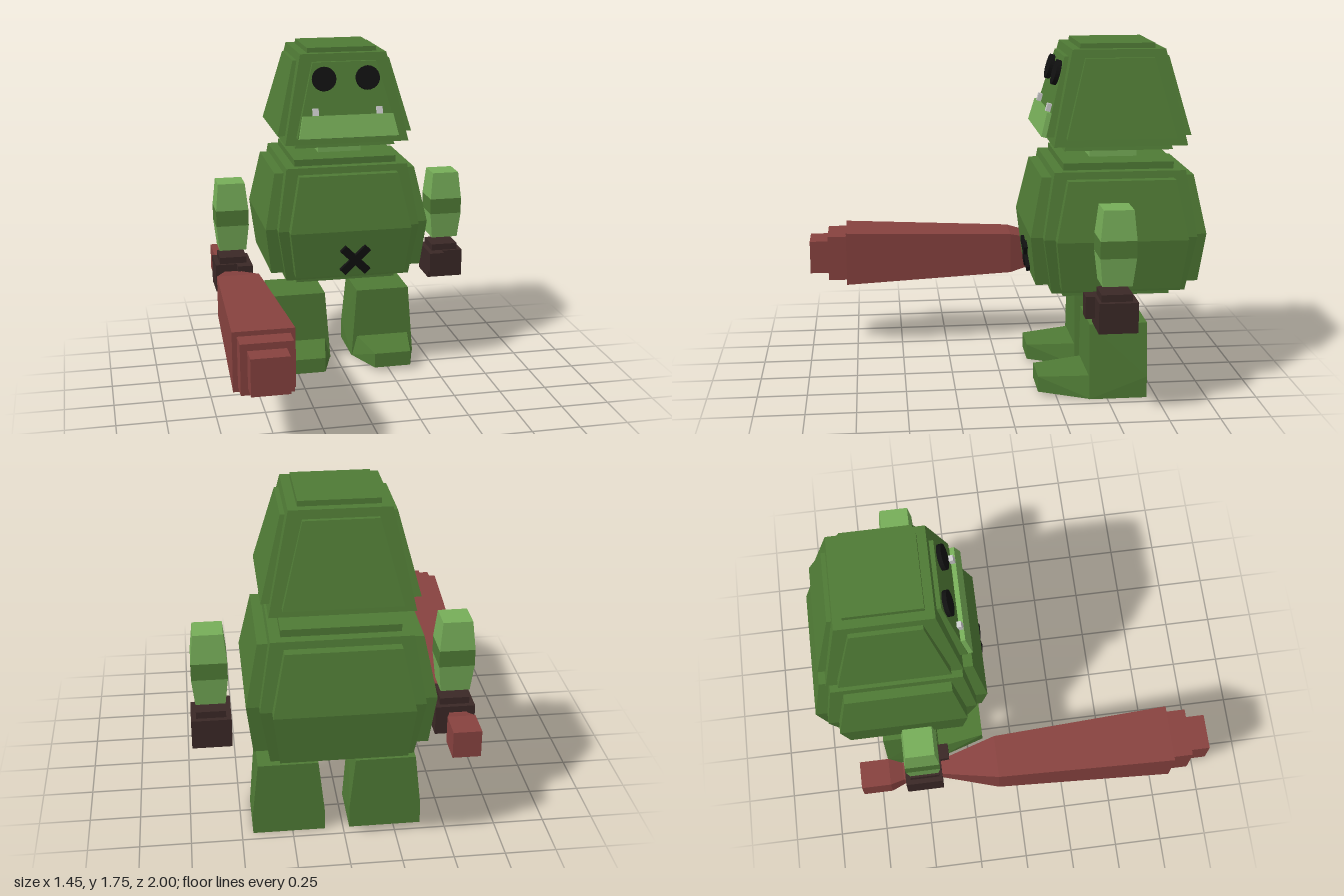
import * as THREE from 'three';
import { ConvexGeometry } from 'three/addons/geometries/ConvexGeometry.js';

const mat = (color) => new THREE.MeshStandardMaterial({ color, flatShading: true });
const GREEN = mat(0x4f7a35), LIGHT = mat(0x76ad58), BROWN = mat(0x3a2826);
const RED = mat(0x87423f), BLACK = mat(0x111111), GREY = mat(0xcccccc);

const CX = 0.03, CZ = -0.56; // body axis

function add(parent, name, geometry, material, x = 0, y = 0, z = 0) {
  const mesh = new THREE.Mesh(geometry, material);
  mesh.name = name;
  mesh.position.set(x, y, z);
  parent.add(mesh);
  return mesh;
}

const box = (w, h, d) => new THREE.BoxGeometry(w, h, d);

// Rectangular cross-sections [y, halfX, halfZ], bottom to top, capped at both ends
function loft(sections) {
  const pos = [], idx = [];
  for (const [y, hx, hz] of sections) pos.push(-hx, y, hz, hx, y, hz, hx, y, -hz, -hx, y, -hz);
  const n = sections.length;
  for (let s = 0; s < n - 1; s++) {
    for (let i = 0; i < 4; i++) {
      const a = s * 4 + i, b = s * 4 + (i + 1) % 4;
      idx.push(a, b, b + 4, a, b + 4, a + 4);
    }
  }
  const t = (n - 1) * 4;
  idx.push(0, 2, 1, 0, 3, 2, t, t + 1, t + 2, t, t + 2, t + 3);
  const g = new THREE.BufferGeometry();
  g.setAttribute('position', new THREE.Float32BufferAttribute(pos, 3));
  g.setIndex(idx);
  const flat = g.toNonIndexed();
  flat.computeVertexNormals();
  return flat;
}

// Core block with a raised panel on each of its six sides
function panelled(name, core, panels, out, inset, cap) {
  const g = new THREE.Group();
  g.name = name;
  g.position.set(CX, 0, CZ);
  add(g, name + 'Core', loft(core.map(([y, c]) => [y, c, c])), GREEN);
  add(g, name + 'SidePanels', loft(panels.map(([y, c]) => [y, c + out, c - inset])), GREEN);
  add(g, name + 'FrontBackPanels', loft(panels.map(([y, c]) => [y, c - inset, c + out])), GREEN);
  add(g, name + 'TopBottomPanels', loft(cap.map(([y, c]) => [y, c, c])), GREEN);
  return g;
}

// Tapered block through mirrored points [halfX, y, z]
function hull(points) {
  return new ConvexGeometry(points.flatMap(([x, y, z]) =>
    [new THREE.Vector3(x, y, z), new THREE.Vector3(-x, y, z)]));
}

export function createModel() {
  const model = new THREE.Group();
  model.name = 'clubMonster';

  // Torso
  const torso = panelled('torso',
    [[0.535, 0.335], [0.82, 0.38], [1.145, 0.325]],
    [[0.57, 0.35], [0.82, 0.38], [1.11, 0.32]],
    0.06, 0.055, [[0.5, 0.27], [1.18, 0.275]]);
  model.add(torso);

  // Crossed belly mark
  const mark = new THREE.Group();
  mark.name = 'bellyMark';
  mark.position.set(0.05, 0.66, -0.135);
  mark.rotation.x = 0.12;
  for (const s of [-1, 1]) {
    add(mark, 'markBar', box(0.19, 0.042, 0.03), BLACK).rotation.z = s * Math.PI / 4;
  }
  model.add(mark);

  // Neck and head
  add(model, 'neck', box(0.236, 0.14, 0.24), LIGHT, CX, 1.2, CZ);
  const head = panelled('head',
    [[1.27, 0.33], [1.73, 0.23]],
    [[1.31, 0.32], [1.69, 0.22]],
    0.04, 0.05, [[1.24, 0.27], [1.5, 0.2], [1.755, 0.185]]);
  model.add(head);

  // Face, leaning back with the head's front panel
  const lean = 0.26;
  const lip = new THREE.Shape([[-0.265, 0], [0.265, 0], [0.24, 0.118], [-0.24, 0.118]]
    .map(([x, y]) => new THREE.Vector2(x, y)));
  add(model, 'mouth', new THREE.ExtrudeGeometry(lip, { depth: 0.03, bevelEnabled: false }),
    LIGHT, CX, 1.305, -0.205).rotation.x = -lean;
  for (const s of [-1, 1]) {
    add(model, 'tooth', box(0.03, 0.06, 0.025), GREY, CX + s * 0.17, 1.432, -0.222).rotation.x = -lean;
    add(model, 'eye', new THREE.CylinderGeometry(0.063, 0.063, 0.04, 24), BLACK,
      CX + s * 0.116, 1.605, -0.275).rotation.x = Math.PI / 2 - lean;
  }

  // Arms, hands and legs
  for (const s of [-1, 1]) {
    const side = s > 0 ? 'left' : 'right';
    const arm = new THREE.Group();
    arm.name = side + 'Arm';
    arm.position.set(CX + s * 0.595, 0, -0.49);
    add(arm, 'forearm', loft([[0.665, 0.072, 0.072], [0.805, 0.087, 0.087]]), LIGHT);
    add(arm, 'elbowBand', loft([[0.805, 0.087, 0.087], [0.89, 0.087, 0.087]]), GREEN);
    add(arm, 'upperArm', loft([[0.89, 0.087, 0.087], [1.035, 0.072, 0.072]]), LIGHT);
    add(arm, 'hand', box(0.195, 0.15, 0.19), BROWN, 0, 0.515, -0.005);
    add(arm, 'wrist', box(0.145, 0.05, 0.15), BROWN, 0, 0.6, 0);
    add(arm, 'thumb', box(0.08, 0.11, 0.06), BROWN, -s * 0.058, 0.535, 0.105);
    model.add(arm);

    const leg = new THREE.Group();
    leg.name = side + 'Leg';
    leg.position.set(CX + s * 0.238, 0, 0);
    add(leg, 'shin', hull([
      [0.147, 0.385, -0.41], [0.147, 0.385, -0.7],
      [0.147, 0.11, -0.41], [0.177, 0.11, -0.7],
      [0.177, 0, -0.41], [0.177, 0, -0.7],
    ]), GREEN);
    add(leg, 'foot', hull([
      [0.147, 0.115, -0.42], [0.177, 0, -0.42],
      [0.1, 0.1, -0.16], [0.1, 0.02, -0.16],
    ]), GREEN);
    model.add(leg);
  }

  // Square club held in the right hand, pointing forward
  const profile = [[-0.82, 0.069], [-0.67, 0.069], [-0.6, 0.045], [-0.4, 0.038],
    [-0.11, 0.11], [0.8, 0.146], [0.8, 0.123], [0.9, 0.123], [0.9, 0.09], [1, 0.09]];
  add(model, 'club', loft(profile.map(([z, h]) => [z, h, h])), RED, -0.578, 0.513, 0)
    .rotation.x = Math.PI / 2;

  return model;
}
